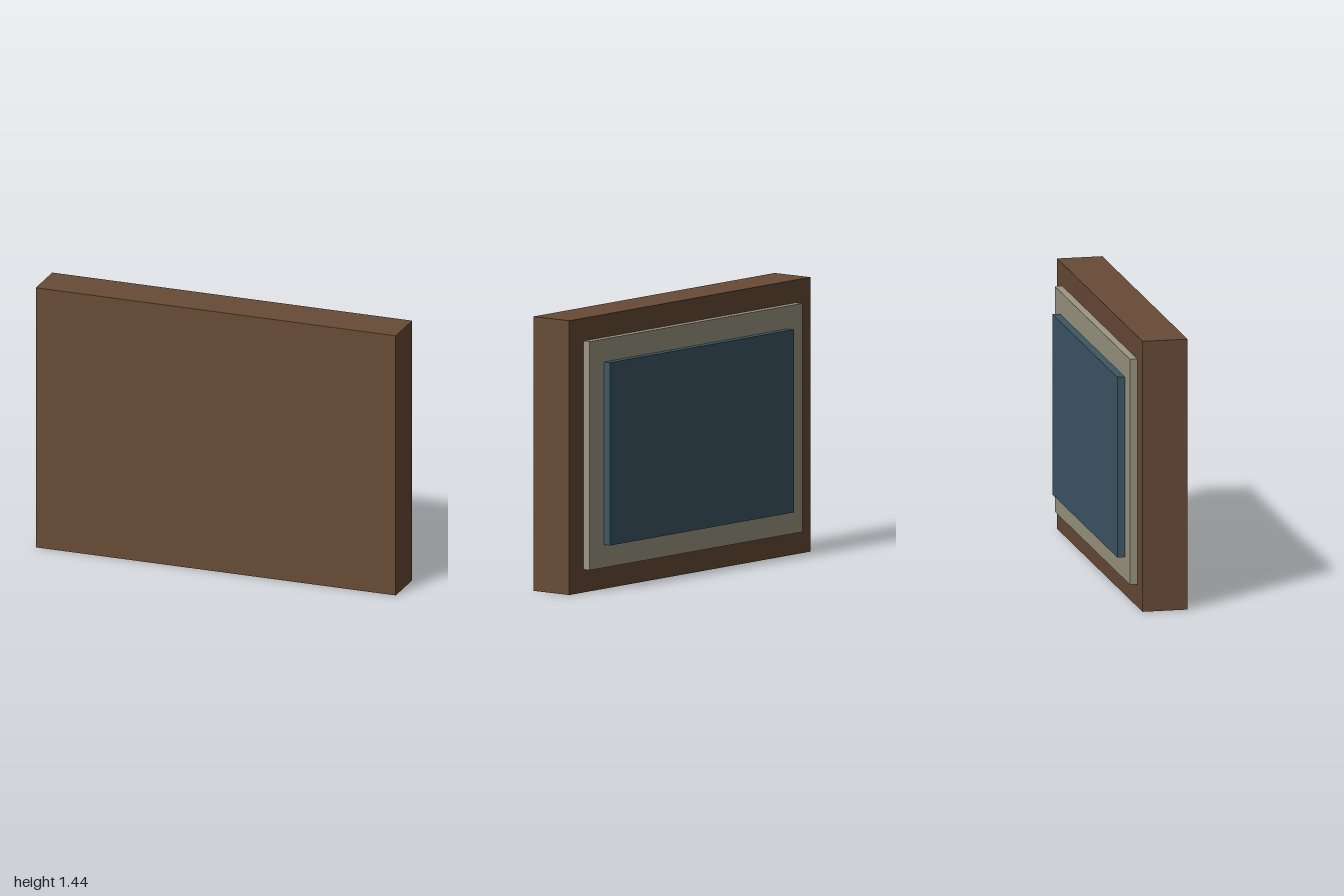
import * as THREE from 'three';

export function createModel() {
  const group = new THREE.Group();
  group.name = 'framedPicture';

  const material = (name, color) => {
    const m = new THREE.MeshStandardMaterial({ color });
    m.name = name;
    return m;
  };
  const wood = material('brown wood', 0x684b36);
  const mat = material('grey beige mat', 0x9c9682);
  const canvas = material('slate blue canvas', 0x3d5766);

  // Centred slab spanning zBack to zFront
  const slab = (name, width, height, zBack, zFront, mtl) => {
    const mesh = new THREE.Mesh(new THREE.BoxGeometry(width, height, zFront - zBack), mtl);
    mesh.name = name;
    mesh.position.set(0, 0.72, (zBack + zFront) / 2);
    group.add(mesh);
  };

  // Stepped layers: thick frame, then mat and picture on its back face
  slab('frame', 2, 1.44, -0.08, 0.16, wood);
  slab('mat', 1.76, 1.2, -0.12, -0.08, mat);
  slab('picture', 1.52, 0.96, -0.16, -0.12, canvas);

  return group;
}
